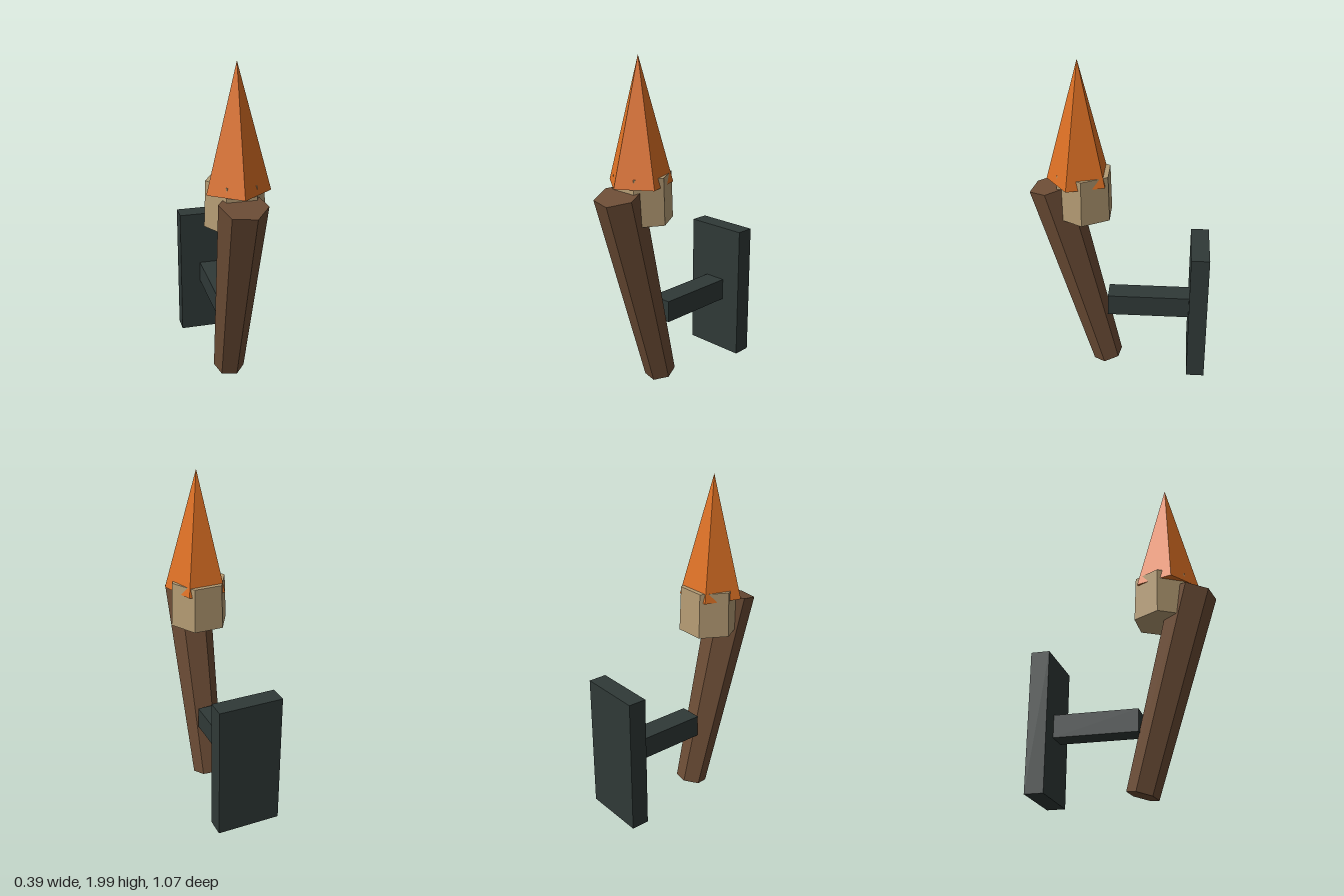
import * as THREE from 'three';

const flat = (name, color) => {
  const m = new THREE.MeshStandardMaterial({ color, flatShading: true });
  m.name = name;
  return m;
};

export function createModel() {
  const metal = flat('dark metal', 0x2f3937);
  const wood = flat('brown wood', 0x6b4c35);
  const clay = flat('tan cup', 0xb59c74);
  const fire = flat('orange flame', 0xdc7024);

  const group = new THREE.Group();
  group.name = 'wallTorch';
  const add = (name, geometry, material, x, y, z) => {
    const mesh = new THREE.Mesh(geometry, material);
    mesh.name = name;
    mesh.position.set(x, y, z);
    group.add(mesh);
    return mesh;
  };

  // Wall bracket
  add('wallPlate', new THREE.BoxGeometry(0.39, 0.835, 0.11), metal, 0, 0.447, -0.475);
  add('bracketArm', new THREE.BoxGeometry(0.136, 0.135, 0.5), metal, 0, 0.447, -0.17);

  // Tapered six-sided shaft, leaning forward
  const shaft = add('shaft', new THREE.CylinderGeometry(0.14, 0.094, 1.253, 6, 1, false, 0.33),
    wood, 0, 0.635, 0.247);
  shaft.rotation.x = 0.26;

  // Six-sided cup with its points to the sides
  add('cup', new THREE.CylinderGeometry(0.171, 0.18, 0.275, 6, 1, false, Math.PI / 6),
    clay, 0, 1.1975, 0.22);

  // Five-sided flame with one ridge to the front
  add('flame', new THREE.ConeGeometry(0.195, 0.72, 5), fire, 0, 1.64, 0.245);

  return group;
}
